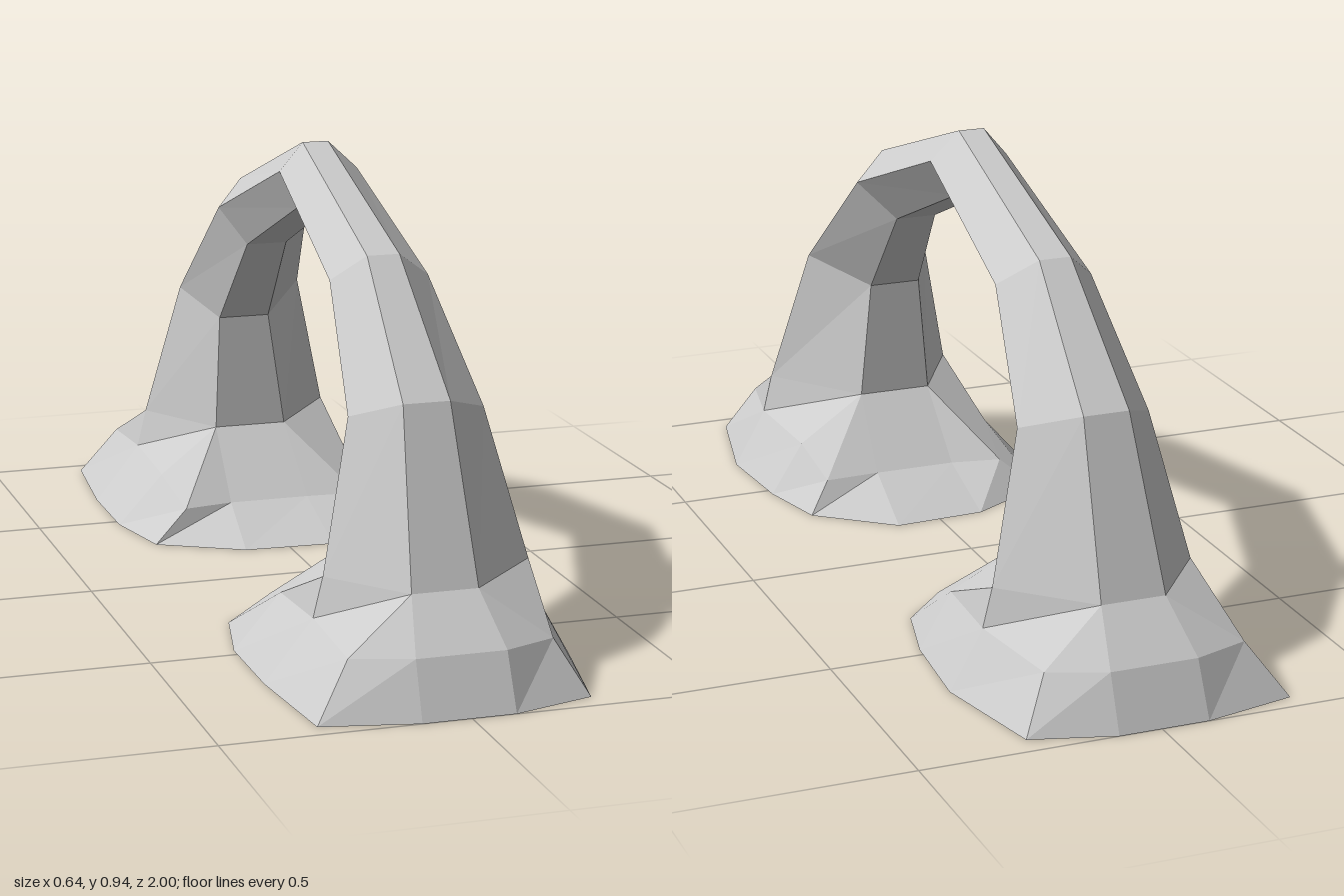
import * as THREE from 'three';

// Foot rings, each running: outer pair, +x side, inner pair, -x side
const rim = [
  [-0.1, 0, 1], [0.09, 0, 1], [0.262, 0, 0.95], [0.318, 0, 0.69], [0.3, 0, 0.475], [0.26, 0, 0.315],
  [0.1, 0, 0.185], [-0.1, 0, 0.195], [-0.28, 0, 0.295], [-0.32, 0, 0.475], [-0.32, 0, 0.69], [-0.295, 0, 0.958],
];
const shoulder = [
  [-0.097, 0.112, 0.95], [0.088, 0.112, 0.95], [0.203, 0.108, 0.895], [0.248, 0.125, 0.69], [0.23, 0.115, 0.47], [0.21, 0.065, 0.35],
  [0.09, 0.067, 0.35], [-0.09, 0.067, 0.35], [-0.2, 0.067, 0.33], [-0.22, 0.112, 0.47], [-0.22, 0.125, 0.69], [-0.218, 0.11, 0.905],
];

// Six-sided arch section, spread over the twelve ring slots
function archRing(outer, middle, inner) {
  const pair = ([left, right, y, z]) => [[left, y, z], [right, y, z]];
  const [oL, oR] = pair(outer), [mL, mR] = pair(middle), [iL, iR] = pair(inner);
  return [oL, oR, oR, mR, iR, iR, iR, iL, iL, iL, mL, oL];
}

// Each corner pair: left x, right x, y, z
const half = [
  rim,
  shoulder,
  archRing([-0.072, 0.065, 0.208, 0.85], [-0.2, 0.228, 0.208, 0.69], [-0.085, 0.077, 0.208, 0.49]),
  archRing([-0.047, 0.05, 0.55, 0.72], [-0.13, 0.152, 0.51, 0.63], [-0.07, 0.045, 0.46, 0.507]),
  archRing([-0.034, 0.034, 0.79, 0.455], [-0.098, 0.11, 0.735, 0.41], [-0.05, 0.04, 0.66, 0.347]),
];
const crown = archRing([-0.028, 0.028, 0.945, 0], [-0.079, 0.092, 0.885, 0], [-0.04, 0.036, 0.805, 0]);

// Skin the rings, leaving out collapsed triangles
function skin(rings) {
  const positions = [];
  const tri = (a, b, c) => {
    if (a !== b && b !== c && a !== c) positions.push(...a, ...b, ...c);
  };
  for (let r = 0; r < rings.length - 1; r++) {
    const lower = rings[r], upper = rings[r + 1], n = lower.length;
    for (let j = 0; j < n; j++) {
      const k = (j + 1) % n;
      tri(lower[j], lower[k], upper[k]);
      tri(lower[j], upper[k], upper[j]);
    }
  }
  const geometry = new THREE.BufferGeometry();
  geometry.setAttribute('position', new THREE.Float32BufferAttribute(positions, 3));
  geometry.computeVertexNormals();
  return geometry;
}

// Mirror a ring to the back, keeping shared corners shared
function mirrorRing(ring) {
  const copies = new Map();
  return ring.map((p) => {
    if (!copies.has(p)) copies.set(p, [p[0], p[1], -p[2]]);
    return copies.get(p);
  });
}

export function createModel() {
  const stone = new THREE.MeshStandardMaterial({ color: 0xcccccc, flatShading: true, side: THREE.DoubleSide });
  stone.name = 'pale grey stone';

  const back = half.map(mirrorRing).reverse();
  const group = new THREE.Group();
  group.name = 'stoneArch';

  const add = (name, rings) => {
    const mesh = new THREE.Mesh(skin(rings), stone);
    mesh.name = name;
    group.add(mesh);
  };
  // Hollow flared feet, open underneath, joined by the arch
  add('frontFoot', half.slice(0, 3));
  add('archSpan', [...half.slice(2), crown, ...back.slice(0, 3)]);
  add('backFoot', back.slice(2));
  return group;
}
